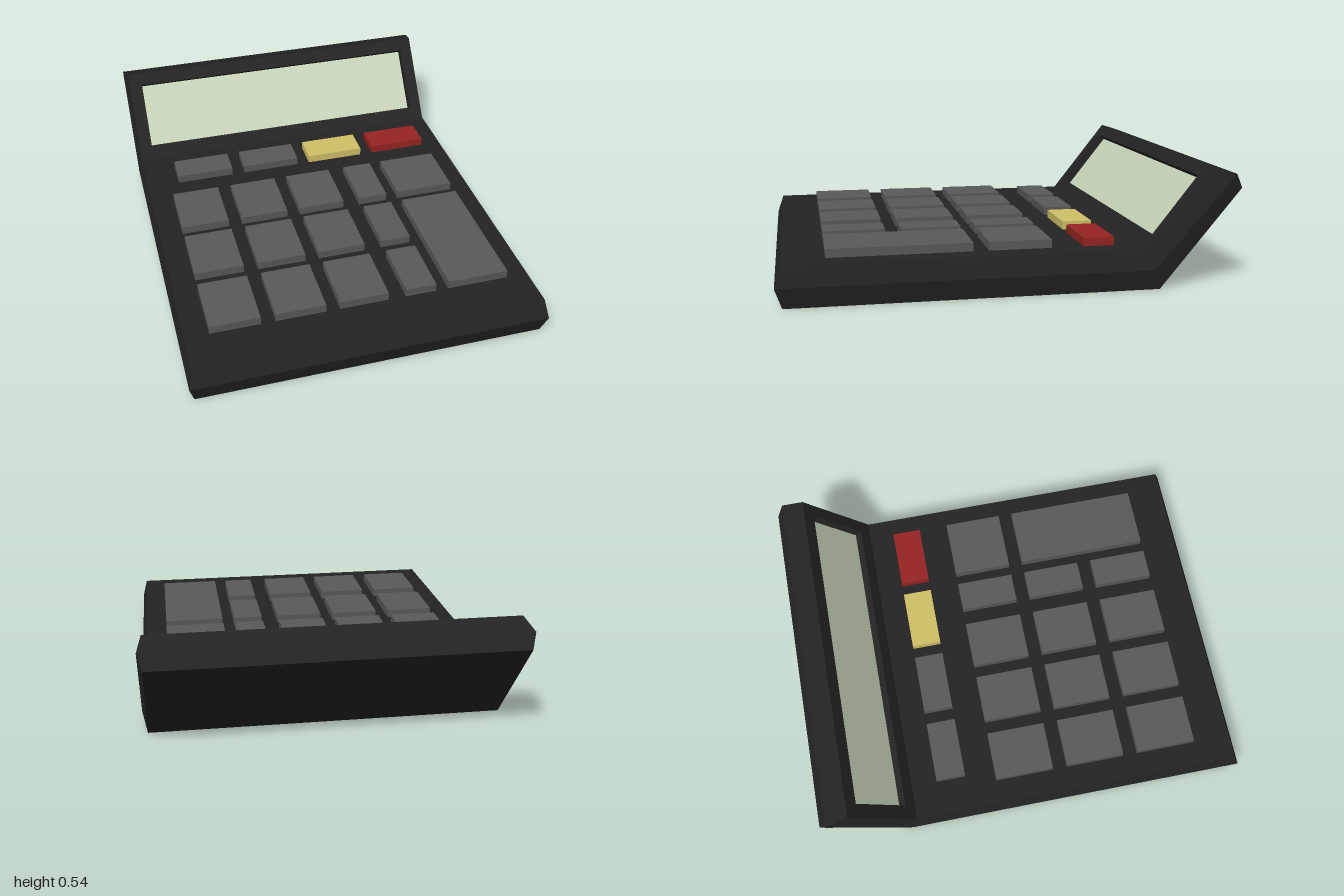
import * as THREE from 'three';

const mat = (name, color) => {
  const m = new THREE.MeshStandardMaterial({ color });
  m.name = name;
  return m;
};

// Flat-faced geometry from quads, corners counter-clockwise seen from outside
function quadGeometry(quads) {
  const pos = [];
  for (const [a, b, c, d] of quads) for (const p of [a, b, c, a, c, d]) pos.push(...p);
  const g = new THREE.BufferGeometry();
  g.setAttribute('position', new THREE.Float32BufferAttribute(pos, 3));
  g.computeVertexNormals();
  return g;
}

export function createModel() {
  const group = new THREE.Group();
  group.name = 'calculator';
  const body = mat('charcoal body', 0x242424);
  const grey = mat('grey key', 0x595959);
  const yellow = mat('yellow key', 0xcfc066);
  const red = mat('red key', 0x962323);
  const glass = mat('pale green screen', 0xc8d5bb);

  const add = (name, geometry, material) => {
    const mesh = new THREE.Mesh(geometry, material);
    mesh.name = name;
    group.add(mesh);
    return mesh;
  };

  // Casing side lines [z, y] at front, bend and lid end: bottom edge, side ridge, top edge
  const layers = [
    { x: 0.785, line: [[0.97, 0], [-0.64, 0], [-1, 0.435]] },
    { x: 0.805, line: [[1, 0.09], [-0.61, 0.09], [-0.965, 0.5]] },
    { x: 0.785, line: [[0.97, 0.18], [-0.58, 0.18], [-0.86, 0.535]] },
  ];
  const P = (layer, i, side) => {
    const { x, line } = layers[layer];
    return [side * x, line[i][1], line[i][0]];
  };
  const quads = [];
  // Quad spanning the width between two edges, lower edge first
  const span = (la, ia, lb, ib, s = 1) =>
    quads.push([P(la, ia, -s), P(la, ia, s), P(lb, ib, s), P(lb, ib, -s)]);
  span(2, 0, 2, 1);                          // deck
  for (const i of [0, 1]) {
    span(0, i + 1, 0, i);                    // underside
    span(i, 0, i + 1, 0);                    // pointed front edge
    span(i, 2, i + 1, 2, -1);                // pointed lid edge
    for (const l of [0, 1]) {                // ridged sides
      quads.push([P(l, i, 1), P(l, i + 1, 1), P(l + 1, i + 1, 1), P(l + 1, i, 1)]);
      quads.push([P(l + 1, i, -1), P(l + 1, i + 1, -1), P(l, i + 1, -1), P(l, i, -1)]);
    }
  }

  // Lid face with a recessed window
  const lid = (x, t, depth) => [x, 0.18 + 0.355 * t - 0.62 * depth, -0.58 - 0.28 * t - 0.785 * depth];
  const rect = (x, t0, t1, d) => [lid(-x, t0, d), lid(x, t0, d), lid(x, t1, d), lid(-x, t1, d)];
  const rings = [rect(0.785, 0, 1, 0), rect(0.723, 0.145, 0.86, 0), rect(0.723, 0.145, 0.86, 0.04)];
  for (let r = 0; r < 2; r++) {
    for (let i = 0; i < 4; i++) {
      const j = (i + 1) % 4;
      quads.push([rings[r][i], rings[r][j], rings[r + 1][j], rings[r + 1][i]]);
    }
  }
  add('casing', quadGeometry(quads), body);
  add('screen', quadGeometry([rings[2]]), glass);

  // Keys, given by their x and z ranges
  const key = (name, [x0, x1], [z0, z1], material = grey) => {
    const mesh = add(name, new THREE.BoxGeometry(x1 - x0, 0.038, z1 - z0), material);
    mesh.position.set((x0 + x1) / 2, 0.199, (z0 + z1) / 2);
  };
  const topColours = [grey, grey, yellow, red];
  [[-0.63, -0.35], [-0.287, -0.005], [0.057, 0.34], [0.402, 0.684]].forEach((xs, i) =>
    key(`functionKey${i + 1}`, xs, [-0.46, -0.322], topColours[i]));
  const columns = [[-0.678, -0.453], [-0.388, -0.163], [-0.1, 0.122], [0.203, 0.344]];
  const rows = [[-0.18, 0.096], [0.164, 0.44], [0.51, 0.79]];
  rows.forEach((zs, r) => columns.forEach((xs, c) => key(`key${r + 1}_${c + 1}`, xs, zs)));
  key('wideKey', [0.402, 0.684], rows[0]);
  key('tallKey', [0.402, 0.684], [0.164, 0.79]);

  return group;
}
